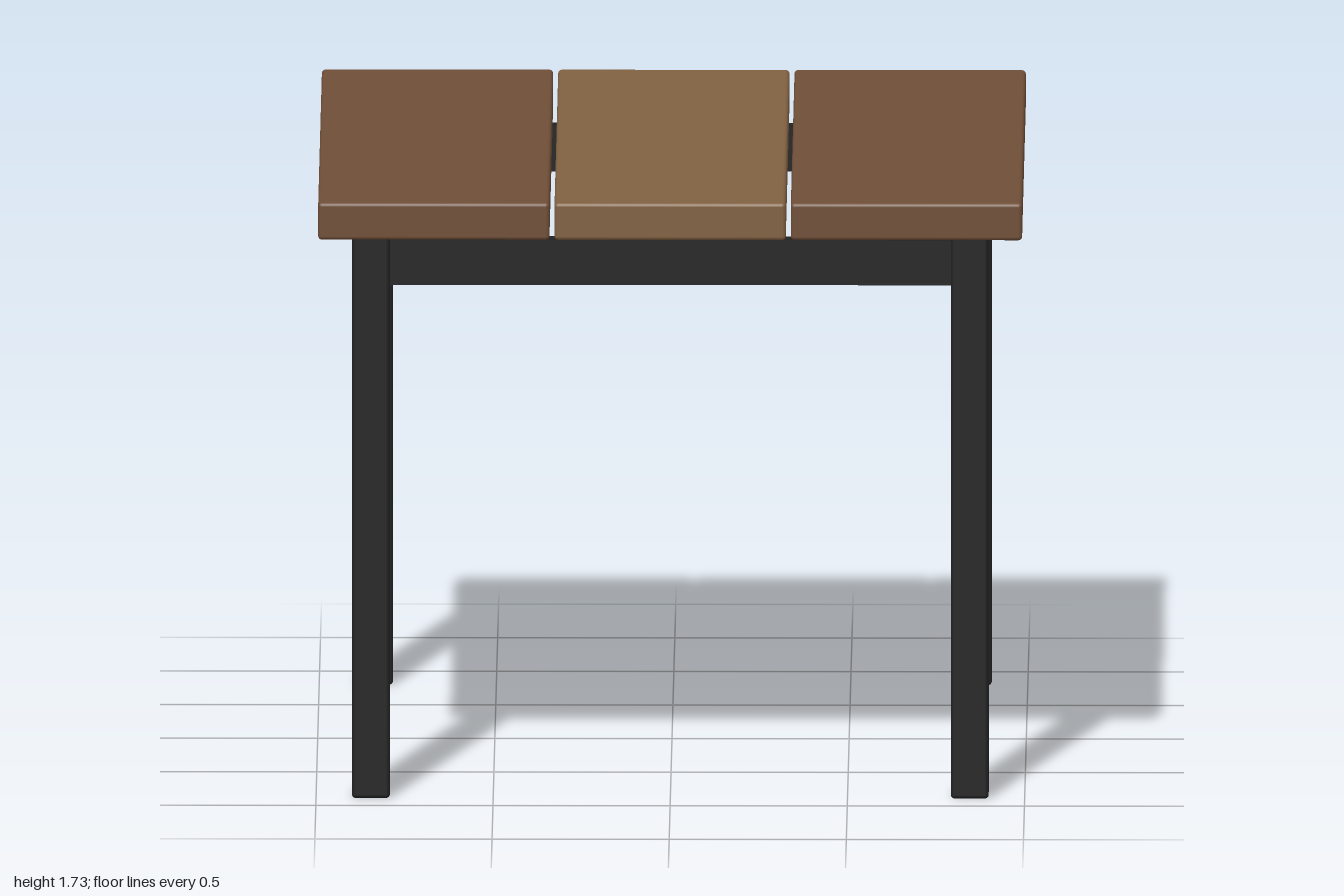
import * as THREE from 'three';
import { RoundedBoxGeometry } from 'three/addons/geometries/RoundedBoxGeometry.js';

const darkWood = new THREE.MeshStandardMaterial({ color: 0x6f4e37 });
const lightWood = new THREE.MeshStandardMaterial({ color: 0x806040 });
const metal = new THREE.MeshStandardMaterial({ color: 0x222222 });

export function createModel() {
  const table = new THREE.Group();
  table.name = 'table';

  const add = (name, geometry, material, x, y, z) => {
    const mesh = new THREE.Mesh(geometry, material);
    mesh.name = name;
    mesh.position.set(x, y, z);
    table.add(mesh);
  };

  // Table top: three planks with narrow gaps
  const plank = new RoundedBoxGeometry(0.653, 0.107, 2, 3, 0.011);
  add('rightPlank', plank, darkWood, -0.667, 1.678, 0);
  add('middlePlank', plank, lightWood, 0, 1.678, 0);
  add('leftPlank', plank, darkWood, 0.667, 1.678, 0);

  // Square legs, and a rail joining each front and back pair
  const leg = new RoundedBoxGeometry(0.107, 1.624, 0.107, 3, 0.011);
  const rail = new THREE.BoxGeometry(1.6, 0.128, 0.064);
  for (const [end, z] of [['front', 0.845], ['back', -0.845]]) {
    add(end + 'LeftLeg', leg, metal, 0.845, 0.812, z);
    add(end + 'RightLeg', leg, metal, -0.845, 0.812, z);
    add(end + 'Rail', rail, metal, 0, 1.537, z);
  }
  return table;
}
